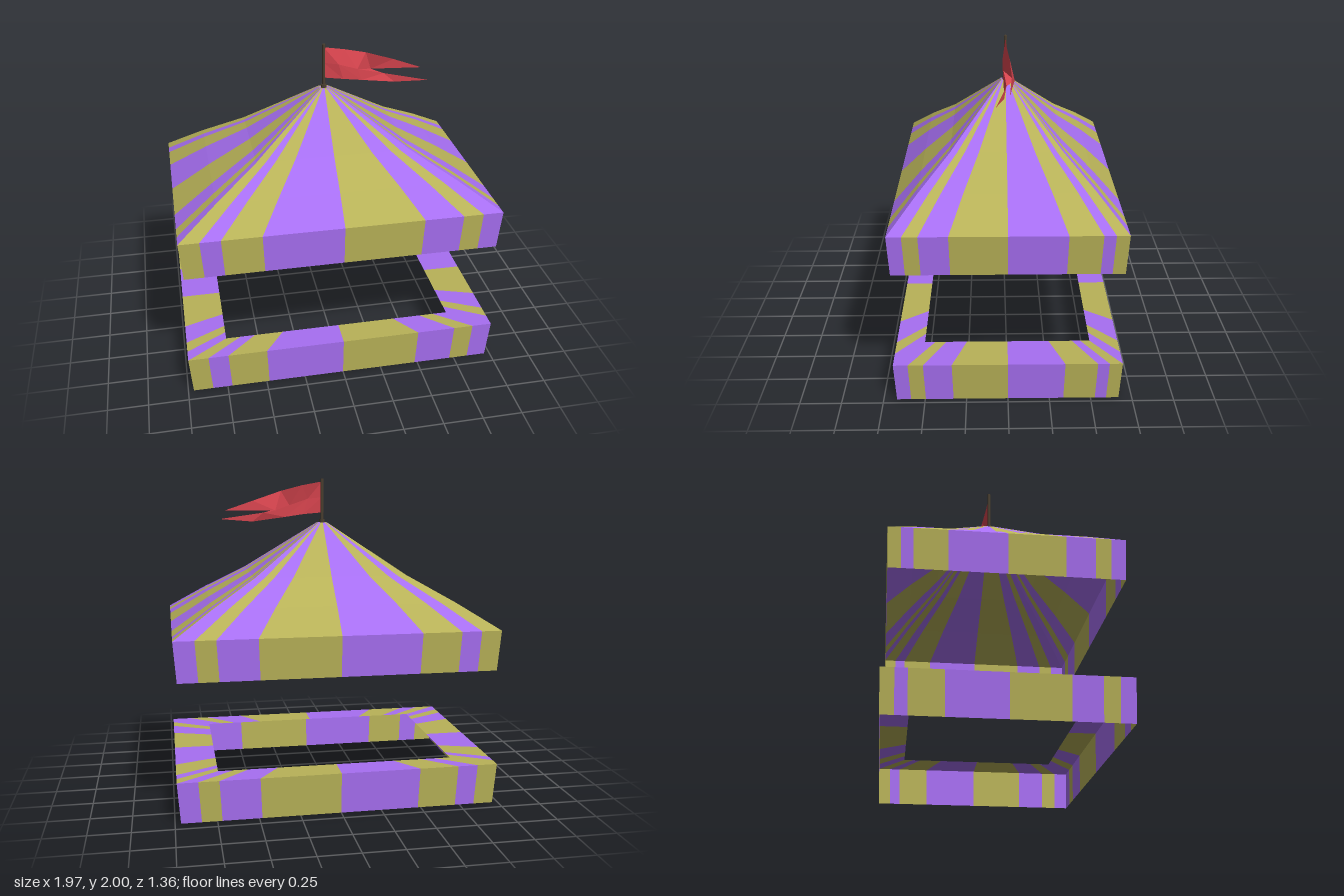
import * as THREE from 'three';

const OLIVE = 0xb8b258, PURPLE = 0xa76ff2, RED = 0xd9454f, WOOD = 0x4a3f30;

// Stripe edges along a wall, as fractions of its half length
const xStripes = [-1, -0.873, -0.747, -0.5, 0, 0.5, 0.747, 0.873, 1];
const zStripes = [-1, -0.887, -0.785, -0.5, 0, 0.49, 0.74, 0.873, 1];

function mesh(name, geometry, color) {
  const material = new THREE.MeshStandardMaterial({ color, flatShading: true, side: THREE.DoubleSide });
  const m = new THREE.Mesh(geometry, material);
  m.name = name;
  return m;
}

function fromTriangles(points) {
  const g = new THREE.BufferGeometry();
  g.setAttribute('position', new THREE.Float32BufferAttribute(points.flat(), 3));
  g.computeVertexNormals();
  return g;
}

// Four-sided striped cloth through rectangular rings [halfX, halfZ, y], listed top to bottom
function stripedCloth(name, rings) {
  const tris = [[], []];
  const sides = [
    { stripes: xStripes, at: (t, [hx, hz, y]) => [t * hx, y, hz], flip: false },
    { stripes: xStripes, at: (t, [hx, hz, y]) => [t * hx, y, -hz], flip: true },
    { stripes: zStripes, at: (t, [hx, hz, y]) => [hx, y, t * hz], flip: true },
    { stripes: zStripes, at: (t, [hx, hz, y]) => [-hx, y, t * hz], flip: false },
  ];
  for (const { stripes, at, flip } of sides) {
    for (let i = 0; i < stripes.length - 1; i++) {
      for (let j = 0; j < rings.length - 1; j++) {
        const a = at(stripes[i], rings[j]), b = at(stripes[i], rings[j + 1]);
        const c = at(stripes[i + 1], rings[j + 1]), d = at(stripes[i + 1], rings[j]);
        tris[i % 2].push(...(flip ? [a, c, b, a, d, c] : [a, b, c, a, c, d]));
      }
    }
  }
  const group = new THREE.Group();
  group.name = name;
  group.add(mesh(name + 'OliveStripes', fromTriangles(tris[0]), OLIVE));
  group.add(mesh(name + 'PurpleStripes', fromTriangles(tris[1]), PURPLE));
  return group;
}

// Swallow-tailed flag, rippled in z
function flagGeometry() {
  const p = [
    [0, 1.98, 0], [0, 1.88, 0], [0, 1.783, 0],               // 0-2 hoist
    [0.13, 1.957, -0.005], [0.09, 1.87, 0.02], [0.12, 1.772, 0.018], // 3-5
    [0.27, 1.922, -0.02], [0.21, 1.83, 0.015], [0.24, 1.755, 0.015], // 6-8
    [0.45, 1.862, -0.03], [0.31, 1.8, -0.05], [0.63, 1.8, -0.015],   // 9-11 upper tail
    [0.38, 1.785, 0.0], [0.45, 1.728, 0.015], [0.655, 1.743, 0.063], // 12-14 lower tail
  ];
  const faces = [
    0, 1, 4, 0, 4, 3, 1, 2, 5, 1, 5, 4,
    3, 4, 7, 3, 7, 6, 4, 5, 8, 4, 8, 7,
    6, 7, 10, 6, 10, 9, 9, 10, 11,
    7, 8, 12, 7, 12, 10, 8, 13, 12, 12, 13, 14,
  ];
  return fromTriangles(faces.map((i) => p[i]));
}

export function createModel() {
  const model = new THREE.Group();
  model.name = 'marketStall';

  // Roof curving down to the eaves, then a hanging valance
  model.add(stripedCloth('canopy', [
    [0.004, 0.004, 1.72], [0.028, 0.03, 1.72], [0.476, 0.338, 1.406],
    [0.742, 0.52, 1.252], [0.984, 0.682, 1.098], [0.965, 0.67, 0.849],
  ]));

  // Counter: flat top around an opening, with a skirt to the ground
  model.add(stripedCloth('counter', [
    [0.733, 0.508, 0.254], [0.984, 0.682, 0.254], [0.965, 0.67, 0],
  ]));

  // Flagpole with a small collar
  const pole = mesh('flagPole', new THREE.CylinderGeometry(0.01, 0.01, 0.29, 8), WOOD);
  pole.position.y = 1.855;
  const collar = mesh('poleCollar', new THREE.CylinderGeometry(0.018, 0.018, 0.03, 8), WOOD);
  collar.position.y = 1.725;
  model.add(pole, collar, mesh('flag', flagGeometry(), RED));

  return model;
}
